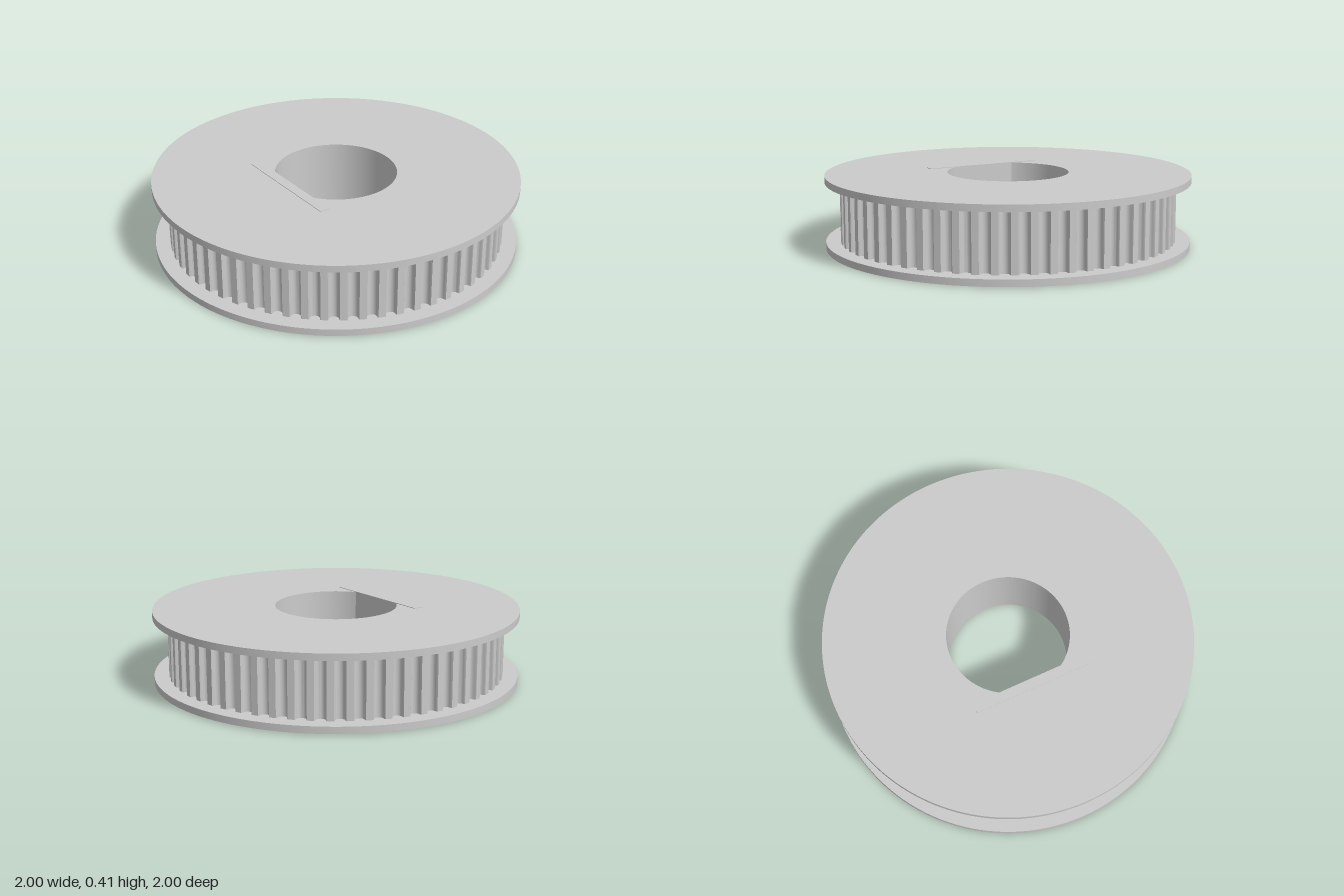
import * as THREE from 'three';
import { toCreasedNormals } from 'three/addons/utils/BufferGeometryUtils.js';

const TEETH = 60, RIM = 0.92, FLANGE = 1, BORE = 0.333;
const BOTTOM = 0.003, TOP = 0.403, PLATE = 0.037;

export function createModel() {
  const group = new THREE.Group();
  const material = new THREE.MeshStandardMaterial({ color: 0xcccccc });

  const add = (name, geometry, y) => {
    const mesh = new THREE.Mesh(geometry, material);
    mesh.name = name;
    mesh.position.y = y;
    group.add(mesh);
  };

  // Upright extrusion of an outline with the round bore cut through it
  const ring = (shape, height) => {
    shape.holes.push(new THREE.Path().absarc(0, 0, BORE, 0, Math.PI * 2, true));
    const geometry = new THREE.ExtrudeGeometry(shape, { depth: height, bevelEnabled: false, curveSegments: 96 });
    geometry.rotateX(-Math.PI / 2);
    return toCreasedNormals(geometry, 0.6);
  };

  // Flanges
  const flange = () => ring(new THREE.Shape().absarc(0, 0, FLANGE, 0, Math.PI * 2, false), PLATE);
  add('lowerFlange', flange(), BOTTOM);
  add('upperFlange', flange(), TOP - PLATE);

  // Toothed rim: rounded grooves as [sideways offset, depth], one centred on each axis
  const groove = [[-0.03, 0], [-0.027, 0.005], [-0.026, 0.014]];
  for (let i = 1; i < 8; i++) {
    const a = Math.PI * i / 8;
    groove.push([-0.026 * Math.cos(a), 0.014 + 0.023 * Math.sin(a)]);
  }
  groove.push([0.026, 0.014], [0.027, 0.005], [0.03, 0]);
  const outline = [];
  for (let t = 0; t < TEETH; t++) {
    const angle = t / TEETH * Math.PI * 2;
    for (const [side, depth] of groove) {
      const a = angle + side / RIM, r = RIM - depth;
      outline.push(new THREE.Vector2(r * Math.cos(a), r * Math.sin(a)));
    }
  }
  add('toothedRim', ring(new THREE.Shape(outline), TOP - BOTTOM - 2 * PLATE), BOTTOM + PLATE);

  // Block that gives the bore its flat side, a hair taller than the flanges
  const flat = new THREE.BoxGeometry(0.67, TOP + BOTTOM, 0.055);
  flat.translate(0, 0, 0.3075);
  add('boreFlat', flat, (TOP + BOTTOM) / 2);

  return group;
}
